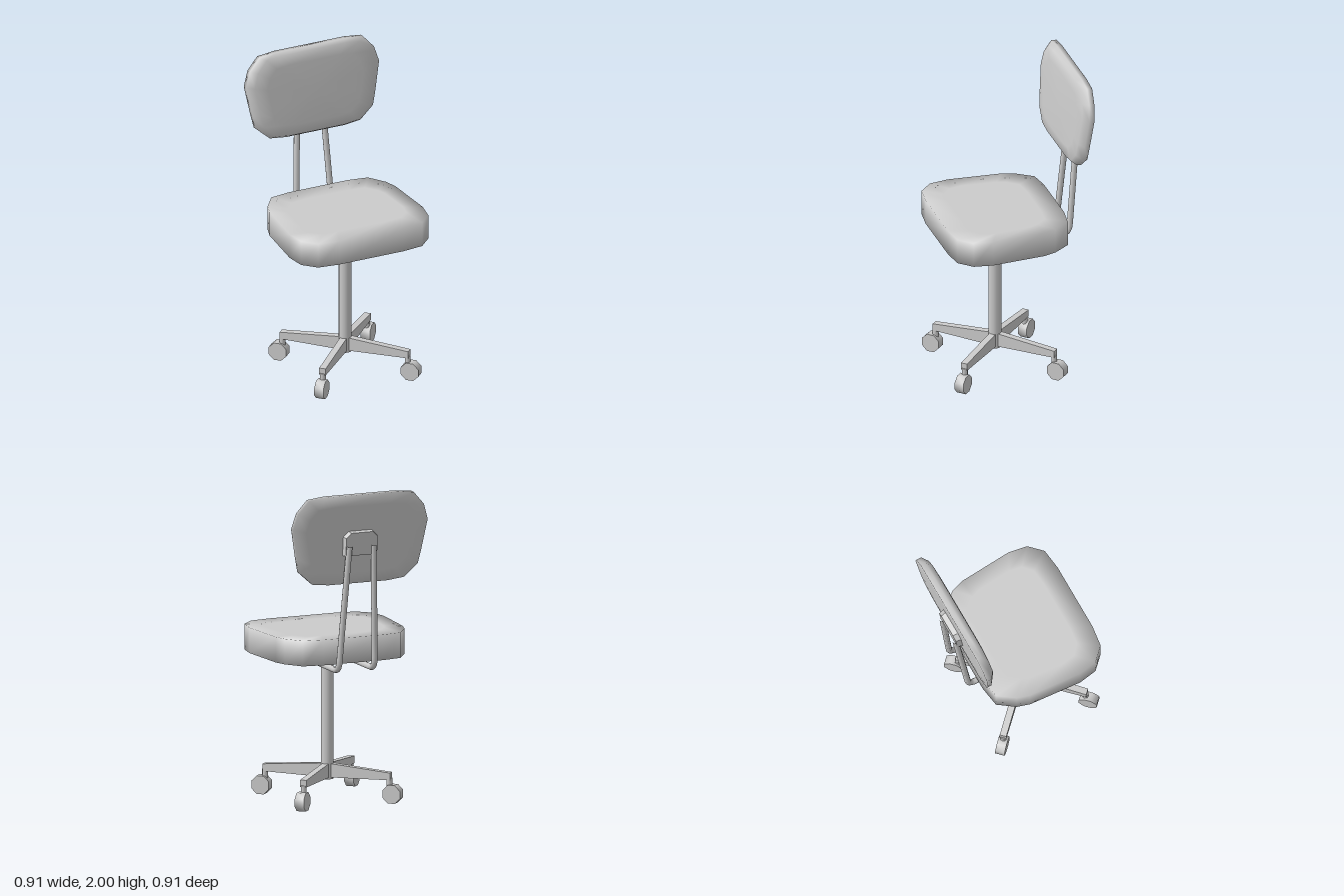
import * as THREE from 'three';
import { toCreasedNormals } from 'three/addons/utils/BufferGeometryUtils.js';

const material = new THREE.MeshStandardMaterial({ color: 0xcccccc });

function part(name, geometry, parent) {
  const mesh = new THREE.Mesh(geometry, material);
  mesh.name = name;
  parent.add(mesh);
  return mesh;
}

// Lofts a mirrored outline (right half, bottom to top) along +z.
// Each section is [scaleX, scaleY, z]; scaling is about y = cy.
function cushion(half, sections, cy = 0) {
  const outline = [...half, ...half.map(([x, y]) => [-x, y]).reverse()];
  const n = outline.length;
  const pos = [];
  const index = [];
  for (const [sx, sy, z] of sections) {
    for (const [x, y] of outline) pos.push(x * sx, cy + (y - cy) * sy, z);
  }
  const last = sections.length - 1;
  pos.push(0, cy, sections[0][2], 0, cy, sections[last][2]);
  const c0 = n * sections.length;
  for (let i = 0; i < n; i++) {
    const j = (i + 1) % n;
    for (let s = 0; s < last; s++) {
      const a = s * n + i, b = s * n + j;
      index.push(a, b, b + n, a, b + n, a + n);
    }
    index.push(c0, j, i, c0 + 1, last * n + i, last * n + j);
  }
  const g = new THREE.BufferGeometry();
  g.setAttribute('position', new THREE.Float32BufferAttribute(pos, 3));
  g.setIndex(index);
  g.computeVertexNormals();
  return g;
}

// Tapered leg running along +x from the hub
function legGeometry() {
  const g = new THREE.BoxGeometry(0.42, 1, 0.042);
  g.translate(0.21, 0, 0);
  const p = g.attributes.position;
  for (let i = 0; i < p.count; i++) {
    const tip = p.getX(i) > 0.2;
    const top = p.getY(i) > 0;
    p.setY(i, top ? (tip ? 0.19 : 0.225) : (tip ? 0.145 : 0.135));
  }
  g.computeVertexNormals();
  return g;
}

export function createModel() {
  const chair = new THREE.Group();
  chair.name = 'officeChair';
  const axisZ = 0.08;

  // Seat cushion, lofted upwards
  const seat = part('seat', cushion(
    [[0.22, -0.457], [0.355, -0.44], [0.435, -0.36], [0.455, -0.24],
      [0.43, 0.1], [0.405, 0.18], [0.33, 0.285], [0.2, 0.305]],
    [[0.76, 0.66, 0], [1, 1, 0], [1, 1, 0.16], [0.76, 0.66, 0.16]], -0.08), chair);
  seat.rotation.x = -Math.PI / 2;
  seat.position.y = 0.92;

  // Backrest cushion, leaning back, with its mounting plate behind
  const back = new THREE.Group();
  back.name = 'backrest';
  back.position.set(0, 1.718, -0.408);
  back.rotation.x = -0.1;
  chair.add(back);
  part('backCushion', cushion(
    [[0.2, -0.283], [0.31, -0.27], [0.4, -0.19], [0.42, -0.1],
      [0.455, 0.09], [0.425, 0.19], [0.355, 0.27], [0.24, 0.283]],
    [[0.8, 0.75, 0], [1, 1, 0], [1, 1, 0.033], [0.9, 0.94, 0.065], [0.72, 0.7, 0.073]]), back);
  const mount = part('backMount', toCreasedNormals(cushion(
    [[0.115, -0.08], [0.115, 0.04], [0.08, 0.075]],
    [[1, 1, -0.01], [0.92, 0.94, 0.034]]), 0.5), back);
  mount.rotation.y = Math.PI;
  mount.position.y = -0.02;

  // Bent support tubes from under the seat up to the backrest
  for (const s of [1, -1]) {
    const path = new THREE.CurvePath();
    const v = (x, y, z) => new THREE.Vector3(s * x, y, z);
    const start = v(0.12, 0.885, 0.015);
    const a = v(0.12, 0.885, -0.3);
    const corner = v(0.12, 0.885, -0.36);
    const b = v(0.119, 0.95, -0.367);
    path.add(new THREE.LineCurve3(start, a));
    path.add(new THREE.QuadraticBezierCurve3(a, corner, b));
    path.add(new THREE.LineCurve3(b, v(0.082, 1.68, -0.434)));
    part(s > 0 ? 'leftTube' : 'rightTube', new THREE.TubeGeometry(path, 40, 0.02, 8), chair);
    const cap = part('tubeCap', new THREE.CircleGeometry(0.02, 8), chair);
    cap.position.copy(start);
  }

  // Mounting plate and column
  part('seatPlate', new THREE.BoxGeometry(0.33, 0.022, 0.33), chair).position.set(0, 0.91, axisZ);
  part('column', new THREE.CylinderGeometry(0.04, 0.04, 0.78, 12), chair).position.set(0, 0.515, axisZ);

  // Four diagonal legs with casters
  for (let i = 0; i < 4; i++) {
    const leg = new THREE.Group();
    leg.name = 'legAssembly';
    leg.position.z = axisZ;
    leg.rotation.y = Math.PI / 4 + i * Math.PI / 2;
    chair.add(leg);
    part('leg', legGeometry(), leg);
    part('casterStem', new THREE.CylinderGeometry(0.019, 0.019, 0.06, 8), leg).position.set(0.41, 0.125, 0);
    const wheel = part('casterWheel', toCreasedNormals(
      new THREE.CylinderGeometry(0.062, 0.062, 0.06, 8).rotateY(Math.PI / 8).rotateX(Math.PI / 2), 0.9), leg);
    wheel.position.set(0.432, 0.0573, 0);
  }
  return chair;
}
